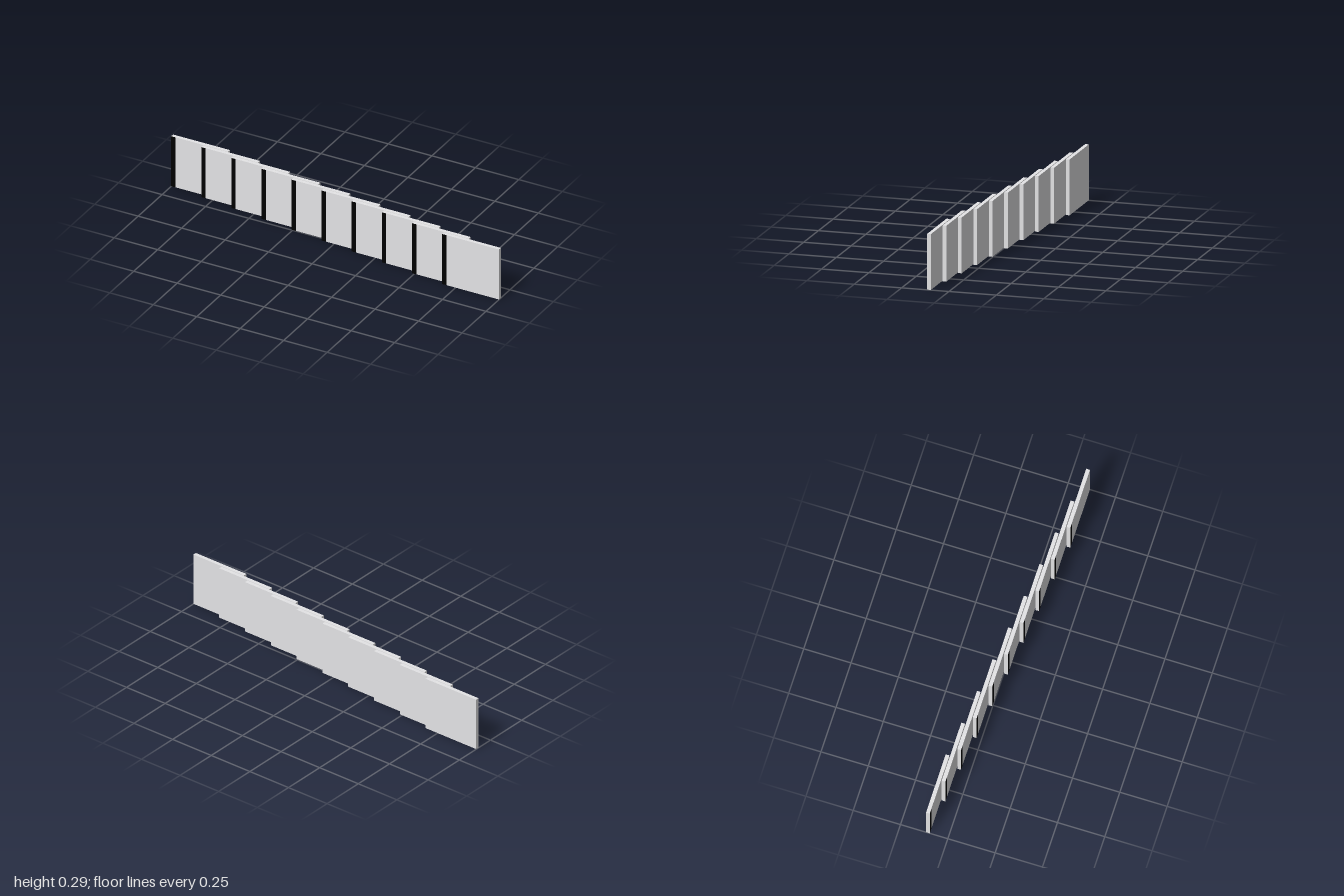
import * as THREE from 'three';

const COUNT = 10;
const WIDTH = 0.327, HEIGHT = 0.29, THICK = 0.0196;
const STEP_X = (2 - WIDTH) / (COUNT - 1);
const STEP_Z = (0.23 - THICK) / (COUNT - 1);
const FOOT = 0.001;
const SKIN = 0.0004;

export function createModel() {
  const group = new THREE.Group();
  group.name = 'slidingPanels';

  const light = new THREE.MeshStandardMaterial({ color: 0xe4e4e6 });
  light.name = 'panelLightGrey';
  const black = new THREE.MeshStandardMaterial({ color: 0x000000 });
  black.name = 'sealBlack';
  const white = new THREE.MeshStandardMaterial({ color: 0xffffff });
  white.name = 'guideWhite';

  const panelGeo = new THREE.BoxGeometry(WIDTH, HEIGHT, THICK);
  const stripGeo = new THREE.PlaneGeometry(0.025, HEIGHT);
  const spotGeo = new THREE.CircleGeometry(0.005, 16).rotateX(-Math.PI / 2).scale(2.4, 1, 1);
  const footGeo = new THREE.CylinderGeometry(0.005, 0.005, FOOT, 16).scale(2.4, 1, 1);

  const add = (parent, name, geo, mat, x, y, z) => {
    const mesh = new THREE.Mesh(geo, mat);
    mesh.name = name;
    mesh.position.set(x, y, z);
    parent.add(mesh);
  };

  // Overlapping panels, each one step further across and forward
  for (let i = 0; i < COUNT; i++) {
    const unit = new THREE.Group();
    unit.name = `panelUnit${i + 1}`;
    const k = i - (COUNT - 1) / 2;
    unit.position.set(k * STEP_X, FOOT + HEIGHT / 2, k * STEP_Z);
    add(unit, 'panel', panelGeo, light, 0, 0, 0);

    // Dark seal along the front edge
    add(unit, 'edgeSeal', stripGeo, black, -WIDTH / 2 + 0.0125, 0, THICK / 2 + SKIN);

    // Flush spots on the top edge, shallow feet under the bottom edge
    for (const side of [-1, 1]) {
      const x = side * STEP_X / 2;
      add(unit, 'topSpot', spotGeo, white, x, HEIGHT / 2 + SKIN, 0);
      add(unit, 'foot', footGeo, light, x, -(HEIGHT + FOOT) / 2, 0);
    }
    group.add(unit);
  }
  return group;
}
